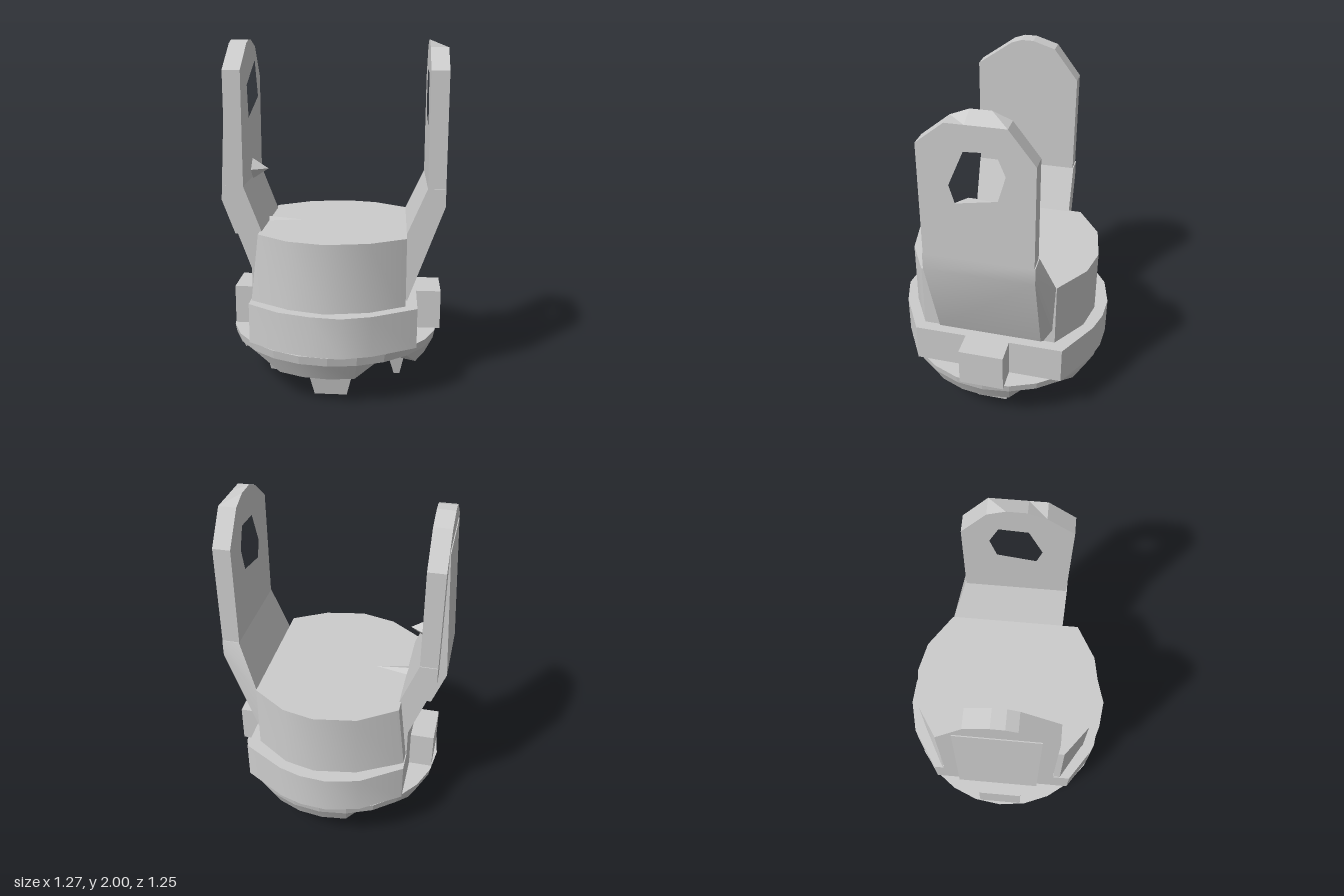
import * as THREE from 'three';
import { toCreasedNormals } from 'three/addons/utils/BufferGeometryUtils.js';

const V = (x, y) => new THREE.Vector2(x, y);

// Moves every vertex of a geometry by a rule.
function warp(geo, rule) {
  const p = geo.attributes.position, v = new THREE.Vector3();
  for (let i = 0; i < p.count; i++) {
    rule(v.fromBufferAttribute(p, i));
    p.setXYZ(i, v.x, v.y, v.z);
  }
  return geo;
}

// Flat-sided disc with an outline in x and z, from y0 to y1.
function disc(outline, y0, y1) {
  const shape = new THREE.Shape(outline.map(([x, z]) => V(x, -z)));
  return new THREE.ExtrudeGeometry(shape, { depth: y1 - y0, bevelEnabled: false })
    .rotateX(-Math.PI / 2).translate(0, y0, 0);
}

// Front profile in x and y, extruded to a width along z.
function sideProfile(pts, width) {
  const shape = new THREE.Shape(pts.map(([x, y]) => V(x, y)));
  return new THREE.ExtrudeGeometry(shape, { depth: width, bevelEnabled: false }).translate(0, 0, -width / 2);
}

// Upright arm plate from x0 to x1; crown and optional eye are given in z and y.
function armPlate(x0, x1, crown, eye) {
  const flip = ([z, y]) => V(-z, y);
  const shape = new THREE.Shape([[0.3, 1.2], ...crown, [-0.3, 1.2]].map(flip));
  if (eye) shape.holes.push(new THREE.Path(eye.map(flip)));
  return new THREE.ExtrudeGeometry(shape, { depth: x1 - x0, bevelEnabled: false })
    .rotateY(Math.PI / 2).translate(x0, 0, 0);
}

export function createModel() {
  const group = new THREE.Group();
  const grey = new THREE.MeshStandardMaterial({ color: 0xcccccc });
  grey.name = 'plainGrey';
  const add = (name, geo, crease = 0.2) => {
    const mesh = new THREE.Mesh(toCreasedNormals(geo, crease), grey);
    mesh.name = name;
    group.add(mesh);
  };

  // Drum and collar
  add('drum', warp(disc([[0.42, -0.385], [0.22, -0.52], [0.04, -0.56], [-0.2, -0.52], [-0.41, -0.38],
    [-0.41, 0.37], [-0.23, 0.505], [-0.02, 0.56], [0.22, 0.515], [0.42, 0.4]], 0.5, 0.94), v => {
    if (v.x < -0.4 && v.y < 0.9) v.x = -0.46;
  }), 0.6);
  add('collar', disc([[0.485, -0.44], [0.24, -0.58], [0.11, -0.62], [-0.04, -0.63], [-0.23, -0.585],
    [-0.46, -0.43], [-0.46, 0.43], [-0.28, 0.55], [-0.1, 0.605], [0.07, 0.625], [0.24, 0.575],
    [0.485, 0.435]], 0.32, 0.55), 0.6);
  add('leftLug', new THREE.BoxGeometry(0.18, 0.23, 0.26).translate(0.54, 0.435, 0));
  add('rightLug', new THREE.BoxGeometry(0.17, 0.23, 0.26).translate(-0.515, 0.435, 0));

  // Rough dished base with notched rim and pockets underneath
  const base = new THREE.LatheGeometry([V(0, 0.28), V(0.13, 0.28), V(0.2, 0.18), V(0.32, 0.18),
    V(0.42, 0.18), V(0.56, 0.17), V(0.61, 0.27), V(0.62, 0.32), V(0, 0.32)], 24);
  const perRing = 9;
  let n = 0;
  warp(base, v => {
    const ring = n % perRing, i = Math.floor(n / perRing) % 24;
    n++;
    const notch = i % 6 === 3 || i % 6 === 2;
    if (ring === 5 && notch) { v.x *= 0.94; v.z *= 0.94; v.y = 0.235; }
    if (ring === 4 && i % 3 !== 0) v.y = 0.26;
    if (ring === 3 && i % 6 === 3) v.y = 0.24;
  });
  add('base', base, 0.25);

  // Four tapered teeth under the base
  for (let i = 0; i < 4; i++) {
    const tooth = warp(new THREE.BoxGeometry(0.29, 0.22, 0.14).translate(0, 0.11, 0), v => {
      if (v.y < 0.1) { v.x *= 0.64; v.z = v.z * 0.25 + 0.01; }
    });
    add('tooth', tooth.translate(0, 0, 0.37).rotateY(i * Math.PI / 2));
  }

  // Left arm, with an open eye, a bevelled crown and a foot flaring onto the drum
  const leftCrown = [[0.3, 1.84], [0.15, 1.96], [0.05, 2], [-0.06, 2], [-0.16, 1.96], [-0.3, 1.78]];
  const openEye = [[0.14, 1.63], [0.06, 1.82], [-0.1, 1.83], [-0.15, 1.71], [-0.11, 1.57], [0.11, 1.53]];
  add('leftArm', warp(armPlate(0.53, 0.63, leftCrown, openEye), v => {
    if (v.x > 0.6 && v.y > 1.97) v.y = 1.96;
  }));
  add('leftArmFoot', warp(sideProfile([[0.53, 1.2], [0.63, 1.2], [0.63, 1.1], [0.43, 0.55],
    [0.38, 0.55], [0.38, 0.94], [0.42, 0.94]], 0.61), v => {
    if (v.x < 0.425 && v.z < 0) v.z = -0.38;
  }), 0.5);

  // Right arm, its eye closed by a thin back to leave a deep blind recess
  const rightCrown = [[0.3, 1.84], [0.1, 1.98], [0.04, 2], [-0.03, 2], [-0.16, 1.96], [-0.3, 1.78]];
  const recess = [[-0.14, 1.88], [-0.22, 1.66], [0.09, 1.56], [0.12, 1.75]];
  add('rightArmInner', armPlate(-0.59, -0.5, rightCrown, recess));
  add('rightArmBack', armPlate(-0.6, -0.59, rightCrown));
  add('rightArmFoot', sideProfile([[-0.5, 1.2], [-0.6, 1.2], [-0.6, 1.1], [-0.46, 0.72],
    [-0.46, 0.55], [-0.36, 0.55], [-0.36, 0.94], [-0.4, 0.94]], 0.61));
  add('outerPlate', sideProfile([[-0.59, 1.85], [-0.605, 1.85], [-0.645, 1.1], [-0.57, 0.9],
    [-0.5, 0.9], [-0.59, 1.15]], 0.43));

  // Small spurs on the inside of the right arm
  add('armSpur', new THREE.ConeGeometry(0.065, 0.1, 4).rotateZ(-Math.PI / 2)
    .translate(-0.455, 1.25, 0));
  add('drumSpur', warp(new THREE.ConeGeometry(0.045, 0.2, 4).rotateZ(-Math.PI / 2), v => {
    v.y *= 0.4;
  }).translate(-0.31, 0.94, 0));

  return group;
}
